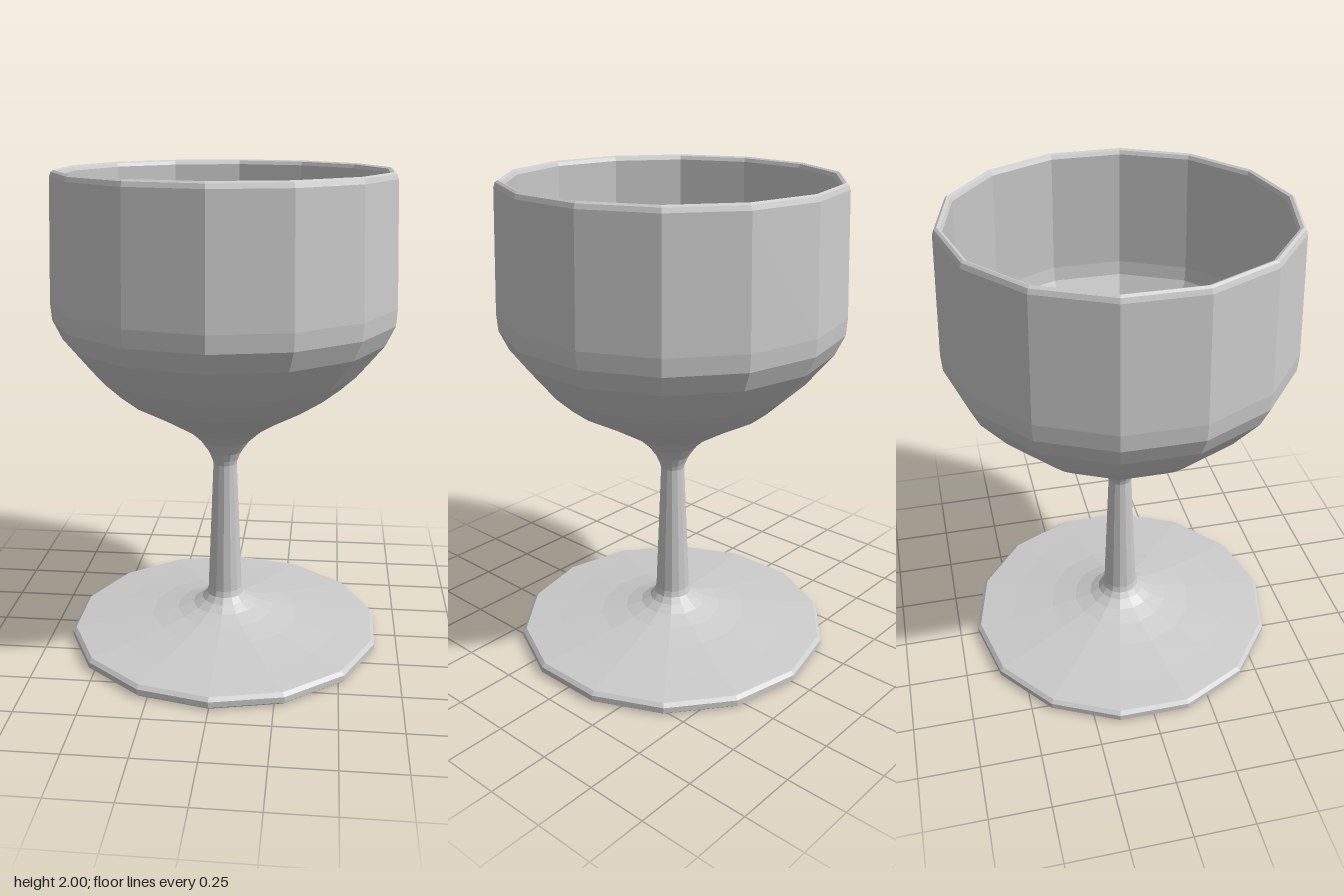
import * as THREE from 'three';

const SIDES = 14;

export function createModel() {
  const goblet = new THREE.Group();
  goblet.name = 'goblet';
  const material = new THREE.MeshStandardMaterial({ color: 0xcccccc, flatShading: true });

  // Turns a [radius, height] profile into a faceted part
  const turn = (name, profile) => {
    const points = profile.map(([r, y]) => new THREE.Vector2(r, y));
    const mesh = new THREE.Mesh(new THREE.LatheGeometry(points, SIDES), material);
    mesh.name = name;
    goblet.add(mesh);
  };

  // Flat disc with a rounded edge, sweeping up to the stem
  turn('foot', [
    [0, 0], [0.655, 0], [0.67, 0.012], [0.67, 0.036], [0.655, 0.05],
    [0.5, 0.067], [0.32, 0.09], [0.21, 0.112], [0.14, 0.135], [0.1, 0.16], [0.08, 0.185], [0.073, 0.21],
  ]);

  // Slender stem, tapering upwards
  turn('stem', [[0.073, 0.21], [0.05, 0.78]]);

  // Outside of the bowl, over the rim and down the inside
  turn('bowl', [
    [0.05, 0.78], [0.055, 0.8], [0.07, 0.835], [0.105, 0.885], [0.16, 0.935],
    [0.275, 1.005], [0.41, 1.08], [0.48, 1.135], [0.55, 1.2], [0.66, 1.335],
    [0.698, 1.415], [0.703, 1.485], [0.684, 1.975], [0.677, 1.993],
    [0.667, 2], [0.655, 1.995], [0.648, 1.98],
    [0.668, 1.485], [0.662, 1.425], [0.622, 1.34], [0.535, 1.235], [0.395, 1.12], [0.125, 0.98], [0, 0.98],
  ]);

  return goblet;
}
